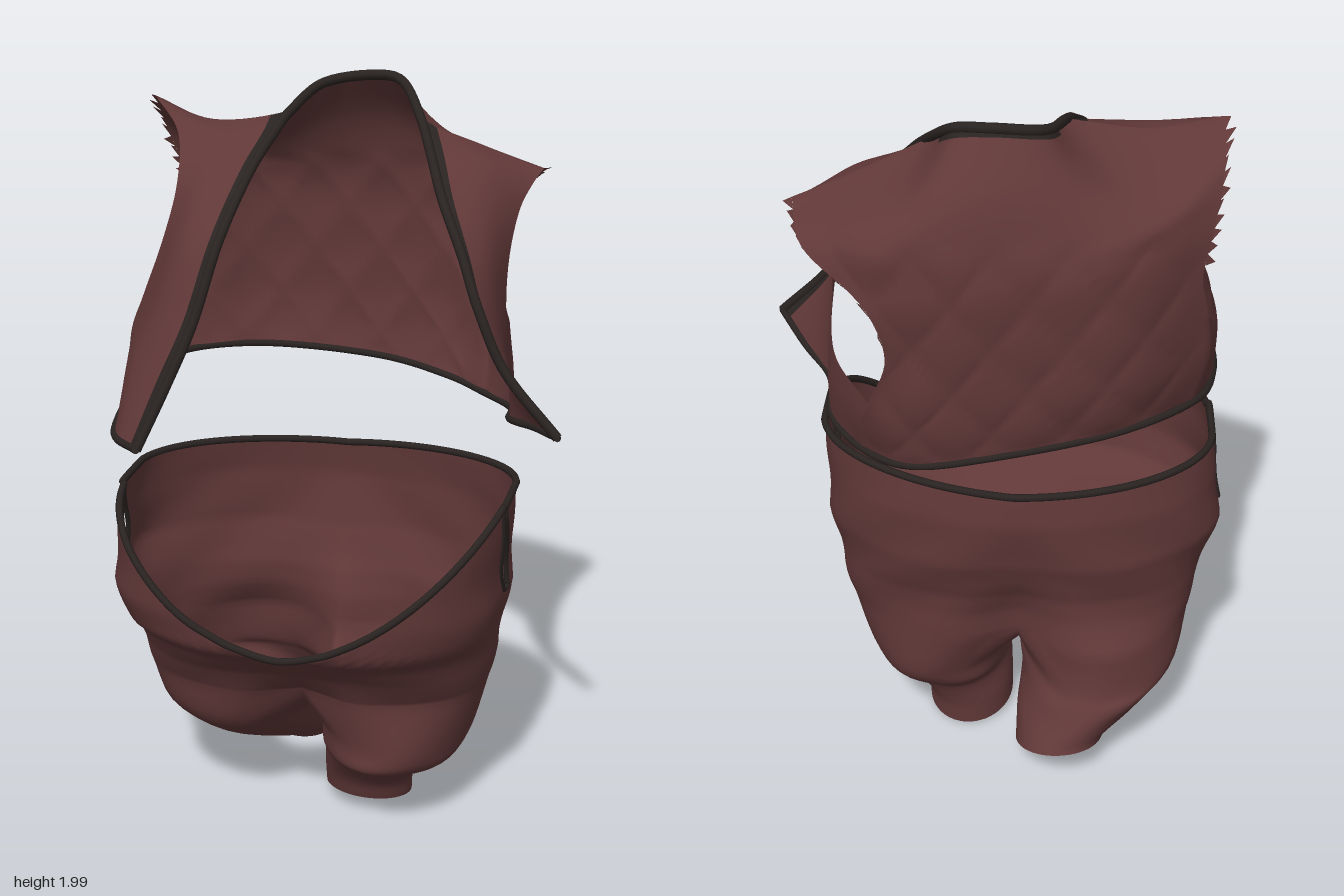
import * as THREE from 'three';
import { mergeGeometries, mergeVertices } from 'three/addons/utils/BufferGeometryUtils.js';

const cloth = new THREE.MeshStandardMaterial({ color: 0x613838, side: THREE.DoubleSide });
cloth.name = 'maroon cloth';
const trim = new THREE.MeshStandardMaterial({ color: 0x292321, side: THREE.DoubleSide });
trim.name = 'dark trim';

const V = (p) => new THREE.Vector3(...p);
const spline = (pts) => new THREE.CatmullRomCurve3(pts, false, 'catmullrom', 0.5);

// Surface through a grid of points; skip(i, j) leaves a quad open
function surface(rows, closed, skip) {
  const n = rows[0].length, index = [];
  for (let i = 0; i < rows.length - 1; i++) {
    for (let j = 0; j < (closed ? n : n - 1); j++) {
      if (skip && skip(i, j)) continue;
      const k = (j + 1) % n, a = i * n + j, b = i * n + k;
      index.push(a, a + n, b, b, a + n, b + n);
    }
  }
  const g = new THREE.BufferGeometry().setFromPoints(rows.flat());
  g.setIndex(index);
  return g;
}

// Smooth every column of sampled rows; only the first `segs` spans are kept
function smoothColumns(rows, per, segs = rows.length - 1) {
  const cols = rows[0].map((_, j) => spline(rows.map((r) => r[j])));
  const out = [];
  for (let k = 0; k <= segs * per; k++) out.push(cols.map((c) => c.getPoint(k / per / (rows.length - 1))));
  return out;
}
const patch = (rows, nu, segs) => smoothColumns(rows.map((r) => spline(r.map(V)).getPoints(nu)), 8, segs);

function joined(list, material, name) {
  const g = mergeVertices(mergeGeometries(list), 1e-4);
  g.computeVertexNormals();
  const m = new THREE.Mesh(g, material);
  m.name = name;
  return m;
}

function piping(pts, r, name, closed = false) {
  const c = new THREE.CatmullRomCurve3(pts, closed, 'catmullrom', 0.5);
  const m = new THREE.Mesh(new THREE.TubeGeometry(c, pts.length * 8, r, 8, closed), trim);
  m.name = name;
  return m;
}

// Vest: each panel is rows of points from the hem up to the shoulder
const rightFront = [
  [[-.41, 1.17, .48], [-.51, 1.165, .36], [-.555, 1.18, .12]],
  [[-.35, 1.32, .41], [-.475, 1.33, .31], [-.55, 1.35, .1]],
  [[-.295, 1.47, .35], [-.41, 1.47, .29], [-.5, 1.47, .13]],
  [[-.25, 1.66, .265], [-.355, 1.65, .235], [-.44, 1.62, .14]],
  [[-.215, 1.8, .105], [-.32, 1.79, .12], [-.41, 1.76, .1]],
  [[-.185, 1.88, -.03], [-.31, 1.87, -.01], [-.44, 1.87, -.01]],
  [[-.165, 1.92, -.12], [-.37, 1.89, -.1], [-.54, 1.94, -.13]],
];
const back = [
  [[-.5, 1.21, -.24], [-.3, 1.2, -.38], [0, 1.165, -.45], [.2, 1.125, -.435], [.33, 1.11, -.34]],
  [[-.53, 1.35, -.26], [-.3, 1.31, -.41], [0, 1.27, -.465], [.2, 1.23, -.46], [.33, 1.21, -.38]],
  [[-.52, 1.48, -.28], [-.3, 1.43, -.42], [0, 1.38, -.47], [.18, 1.33, -.475], [.3, 1.3, -.425]],
  [[-.5, 1.6, -.3], [-.3, 1.57, -.42], [0, 1.53, -.475], [.14, 1.49, -.48], [.25, 1.45, -.465]],
  [[-.52, 1.72, -.28], [-.3, 1.69, -.41], [0, 1.68, -.47], [.17, 1.64, -.48], [.3, 1.6, -.47]],
  [[-.54, 1.84, -.22], [-.35, 1.79, -.33], [0, 1.85, -.42], [.24, 1.78, -.44], [.44, 1.71, -.4]],
  [[-.54, 1.94, -.13], [-.37, 1.89, -.1], [-.165, 1.92, -.12], [-.12, 1.965, -.28], [0, 1.985, -.32],
    [.09, 1.975, -.3], [.16, 1.9, -.2], [.32, 1.83, -.23], [.48, 1.77, -.26]],
];
const leftFront = [
  [[.44, 1.14, -.06], [.52, 1.165, .06], [.6, 1.19, .2]],
  [[.435, 1.26, -.06], [.45, 1.32, .06], [.46, 1.34, .17]],
  [[.42, 1.44, -.07], [.41, 1.47, .05], [.385, 1.49, .15]],
  [[.42, 1.57, -.1], [.385, 1.6, .01], [.33, 1.61, .09]],
  [[.435, 1.68, -.15], [.36, 1.715, -.06], [.26, 1.73, 0]],
  [[.46, 1.74, -.2], [.34, 1.8, -.14], [.21, 1.82, -.1]],
  [[.48, 1.77, -.26], [.32, 1.83, -.23], [.16, 1.9, -.2]],
];
// The middles of the strips below the armholes; the last row only steers the curve
const rightUnder = [[[-.555, 1.195, -.08]], [[-.56, 1.3, -.08]],
  [[-.55, 1.385, -.02], [-.55, 1.385, -.14]], [[-.52, 1.5, -.08]]]
  .map((m, i) => [rightFront[i][2], ...m, back[i][0]]);
const leftUnder = [[[.42, 1.12, -.21]], [[.42, 1.225, -.22]], [[.4, 1.335, -.25]], [[.38, 1.45, -.28]]]
  .map((m, i) => [back[i][4], ...m, leftFront[i][0]]);

function createVest() {
  const vest = new THREE.Group();
  vest.name = 'vest';
  const backGrid = patch(back, 64), rightGrid = patch(rightFront, 16), leftGrid = patch(leftFront, 16);
  // The front panels meet the back along the same shoulder seam
  const top = backGrid.length - 1;
  for (let j = 0; j <= 16; j++) {
    rightGrid[top][j] = backGrid[top][16 - j];
    leftGrid[top][j] = backGrid[top][64 - j];
  }
  const edges = [0, 64].map((j) => backGrid.map((r) => r[j].clone()));
  // Quilted diamonds below the shoulder yoke
  backGrid.forEach((r, i) => r.forEach((p, j) => {
    const fade = Math.min(1, Math.min(j, 64 - j) / 6, i / 3) * THREE.MathUtils.smoothstep(1.76 - p.y, 0, 0.04);
    const q = Math.abs(Math.sin((p.x + p.y * 0.75) * 17) * Math.sin((p.x - p.y * 0.75) * 17));
    p.z -= 0.01 * fade * (Math.sqrt(q) - 0.5);
  }));

  // Panels, with a flat dark band along the opening and the neck
  const panels = [
    [rightGrid, (i, j) => j < 2], [leftGrid, (i, j) => j > 13],
    [backGrid, (i, j) => i >= top - 1 && j >= 20 && j < 44],
  ];
  vest.add(joined([
    ...panels.map(([grid, band]) => surface(grid, false, band)),
    surface(patch(rightUnder, 20, 2)), surface(patch(leftUnder, 20, 2)),
  ], cloth, 'vestCloth'));
  vest.add(joined(panels.map(([grid, band]) => surface(grid, false, (i, j) => !band(i, j))), trim, 'openingBand'));

  // Torn threads along the back edges of the armholes
  let seed = 7;
  const rnd = () => (seed = (seed * 16807) % 2147483647) / 2147483647;
  const pts = [];
  edges.forEach((edge, s) => {
    const side = s ? 1 : -1;
    for (let i = 26; i < edge.length - 1; i += 2) {
      const a = edge[i], b = edge[i + 2] || edge[i + 1];
      const tip = a.clone().lerp(b, rnd()).add(V([side * (0.005 + 0.022 * rnd()), 0.02 * rnd(), 0.01]));
      pts.push(a, b, tip);
    }
  });
  const tatters = new THREE.BufferGeometry().setFromPoints(pts);
  tatters.computeVertexNormals();
  const torn = new THREE.Mesh(tatters, cloth);
  torn.name = 'tornEdges';
  vest.add(torn);

  // Rolled edging round the opening and the hem
  const opening = [...rightFront.map((r) => r[0]), ...back[6].slice(3, 6), ...leftFront.map((r) => r[2]).reverse()];
  const hem = [...rightFront[0], rightUnder[0][1], ...back[0], leftUnder[0][1], ...leftFront[0]];
  vest.add(piping(opening.map(V), 0.013, 'openingTrim'), piping(hem.map(V), 0.01, 'hemTrim'));
  return vest;
}

// Trousers profile: height, right, left, front and back extents
const profile = [
  [.4, -.53, .405, .28, .28], [.5, -.55, .435, .33, .27], [.57, -.57, .445, .38, .28], [.61, -.58, .45, .44, .295],
  [.7, -.605, .465, .45, .32], [.85, -.59, .468, .45, .325], [1, -.565, .47, .45, .3],
];
function extents(y) {
  let i = 0;
  while (i < profile.length - 2 && y > profile[i + 1][0]) i++;
  const [a, b] = [profile[i], profile[i + 1]];
  const t = THREE.MathUtils.clamp((y - a[0]) / (b[0] - a[0]), 0, 1);
  return a.map((v, k) => v + (b[k] - v) * t);
}
function hipPoint(phi, s) {
  const sn = Math.sin(phi), cs = Math.cos(phi);
  // Squarer in front at the waist, rounder lower down and behind
  const pow = cs > 0 ? 0.667 + 0.15 * s : 1.04;
  const ux = Math.sign(sn) * Math.abs(sn) ** pow, uz = Math.sign(cs) * Math.abs(cs) ** pow;
  const sideY = 0.945 + (sn > 0 ? 0.035 : 0.008) * Math.abs(sn);
  const top = cs > 0 ? 0.61 + (sideY - 0.61) * Math.abs(ux) ** 1.7 : sideY;
  const y = top + (0.42 - top) * s;
  const [, x0, x1, zf, zb] = extents(y);
  // Soft slanting folds and the seam pinch between the legs
  const fold = 1 + 0.01 * Math.sin(Math.PI * Math.min(1, s * 1.5) / 2) * Math.sin(y * 26 + 9 * Math.abs(ux) + 2 * cs);
  const cx = (x0 + x1) / 2, x = cx + ux * (x1 - x0) / 2 * fold;
  const pinch = 1 - 0.28 * s ** 1.5 * Math.exp(-(((x - cx) / 0.11) ** 2));
  // The right leg bends back, so its seat bulges behind
  const seat = cs < 0 && sn < 0 ? 0.085 * s ** 4 * Math.sin(2 * phi) : 0;
  return V([x, y, uz * (cs > 0 ? zf : zb) * fold * pinch - seat]);
}

// Leg rings: centre x, y, z, half width, half depth, rise of the front
const legs = {
  leftLeg: [[.165, .28, .02, .207, .25, 0], [.15, .215, .03, .187, .235, 0], [.12, .175, .03, .155, .185, .01],
    [.085, .1, .01, .125, .145, .02], [.08, .035, 0, .12, .13, .025]],
  rightLeg: [[-.29, .3, -.05, .225, .28, 0], [-.27, .24, -.11, .2, .245, -.02], [-.23, .18, -.18, .17, .19, -.03],
    [-.19, .13, -.25, .13, .14, -.03], [-.18, .105, -.275, .12, .125, -.035]],
};

function createTrousers() {
  const trousers = new THREE.Group();
  trousers.name = 'trousers';
  const N = 64, R = 32, body = [];
  for (let i = 0; i <= R; i++) {
    body.push(Array.from({ length: N }, (_, j) => hipPoint(j / N * Math.PI * 2, i / R)));
  }
  // Slanting teardrop slits at the hips, closed at both ends
  const slits = [14, 49], slitEnd = 0.7;
  for (const row of body) {
    for (const j of slits) {
      for (const k of [j, j + 1]) {
        const p = row[k], t = THREE.MathUtils.clamp((0.95 - p.y) / (0.95 - slitEnd), 0, 1);
        const forward = (k === j) === (j < N / 2) ? 1 : -1;
        const z = 0.15 - 0.08 * t + forward * (0.006 + 0.022 * Math.sin(Math.PI * t ** 1.3));
        p.z += (z - p.z) * THREE.MathUtils.smoothstep(p.y, 0.5, slitEnd);
      }
    }
  }
  const parts = [surface(body, true, (i, j) => slits.includes(j) && body[i + 1][j].y > slitEnd)];

  // Each leg starts from half the hip ring closed by the crotch seam
  const ring = body[R], front = ring[0], rear = ring[N / 2];
  const seam = Array.from({ length: 15 }, (_, k) => {
    const t = (k + 1) / 16, p = rear.clone().lerp(front, t);
    p.y -= 0.125 * Math.sin(Math.PI * t) ** 0.7;
    return p;
  });
  for (const [name, rings] of Object.entries(legs)) {
    const left = name === 'leftLeg';
    const start = left ? [...ring.slice(0, N / 2 + 1), ...seam] : [...ring.slice(N / 2), front, ...[...seam].reverse()];
    const phi0 = (left ? -30 : 150) * Math.PI / 180;
    const rows = [start, ...rings.map(([cx, y, cz, rx, rz, tilt], k) => start.map((_, j) => {
      const a = phi0 + j / start.length * Math.PI * 2;
      const w = 1 + (k < 3 ? 0.015 * Math.sin(a * 5 + k * 2) : 0);
      return V([cx + rx * w * Math.sin(a), y + tilt * Math.cos(a) - 0.01 * Math.sin(a), cz + rz * w * Math.cos(a)]);
    }))];
    parts.push(surface(smoothColumns(rows, 5), true));
  }
  trousers.add(joined(parts, cloth, 'trousersCloth'));

  // Edging round the waist and the slits
  trousers.add(piping(body[0], 0.01, 'waistTrim', true));
  for (const j of slits) {
    const edge = (k) => body.filter((r) => r[k].y > slitEnd).map((r) => r[k]);
    trousers.add(piping([...edge(j), ...edge(j + 1).reverse()], 0.007, 'slitTrim'));
  }
  return trousers;
}

export function createModel() {
  const model = new THREE.Group();
  model.name = 'tornOutfit';
  model.add(createVest(), createTrousers());
  return model;
}
